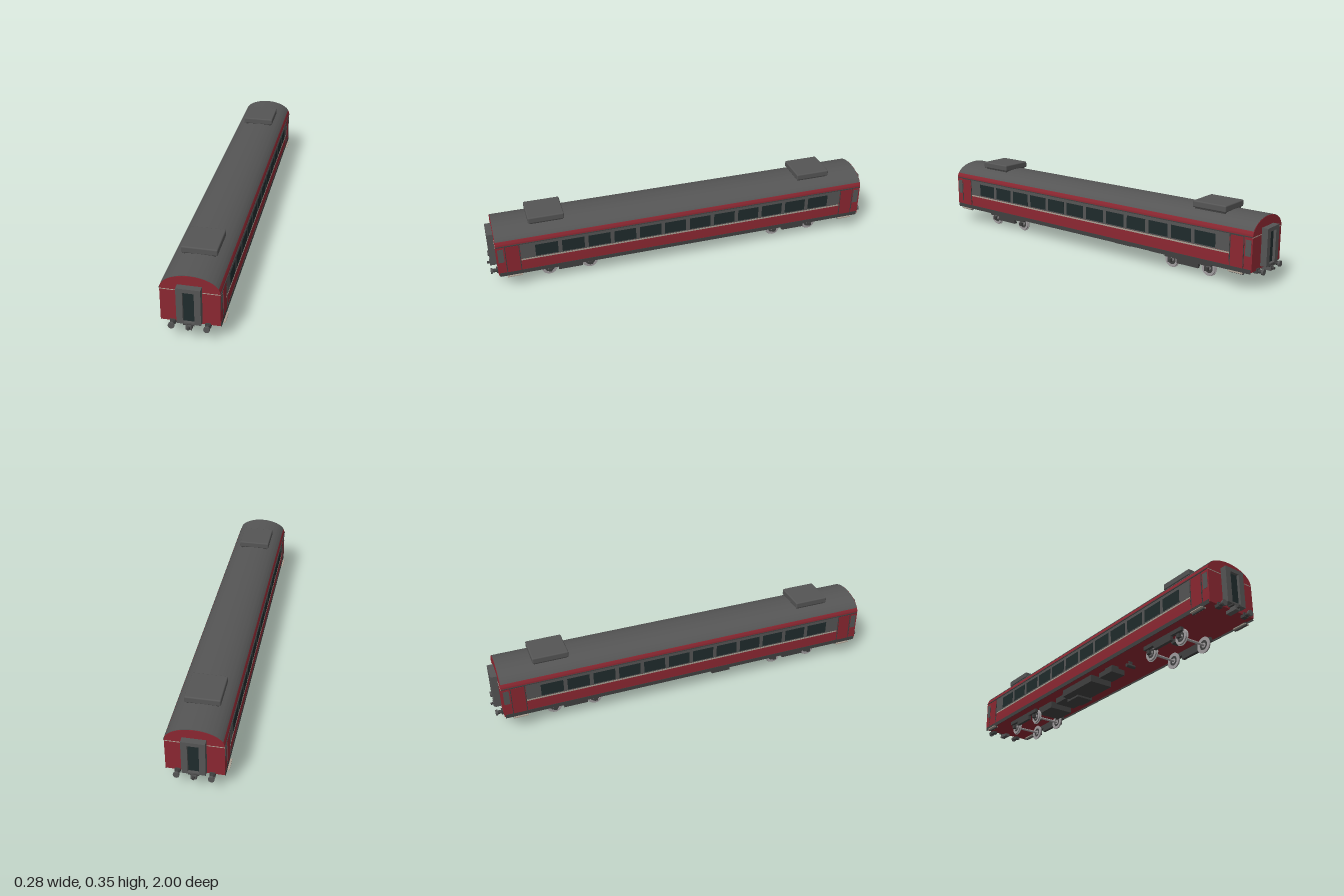
import * as THREE from 'three';
import { toCreasedNormals } from 'three/addons/utils/BufferGeometryUtils.js';
import { RoundedBoxGeometry } from 'three/addons/geometries/RoundedBoxGeometry.js';

const mat = (name, color) => new THREE.MeshStandardMaterial({ name, color });

export function createModel() {
  const red = mat('carriage red', 0x8b2731);
  const grey = mat('roof grey', 0x555555);
  const dark = mat('underframe grey', 0x404040);
  const glass = mat('window glass', 0x1f2b2c);
  const steel = mat('wheel steel', 0xa09c9e);
  const trim = mat('pale trim', 0xa99f92);

  const model = new THREE.Group();
  model.name = 'passengerCarriage';

  const add = (name, geo, m, x = 0, y = 0, z = 0, parent = model) => {
    const mesh = new THREE.Mesh(geo, m);
    mesh.name = name;
    mesh.position.set(x, y, z);
    parent.add(mesh);
    return mesh;
  };
  // Box given by its minimum and maximum on each axis
  const box = (name, m, x0, x1, y0, y1, z0, z1, parent = model) =>
    add(name, new THREE.BoxGeometry(x1 - x0, y1 - y0, z1 - z0), m,
      (x0 + x1) / 2, (y0 + y1) / 2, (z0 + z1) / 2, parent);
  const rod = (name, m, r, len, axis, x, y, z, parent = model) => {
    const g = new THREE.CylinderGeometry(r, r, len, 20);
    if (axis === 'x') g.rotateZ(Math.PI / 2);
    if (axis === 'z') g.rotateX(Math.PI / 2);
    return add(name, g, m, x, y, z, parent);
  };

  // Elliptical roof arch, from angle a to PI - a
  const arch = (a, grow) => {
    const pts = [];
    for (let i = 0; i <= 36; i++) {
      const t = a + (Math.PI - 2 * a) * i / 36;
      pts.push(new THREE.Vector2((0.131 + grow) * Math.cos(t), 0.25 + (0.072 + grow) * Math.sin(t)));
    }
    return pts;
  };
  const extrude = (pts, half) => {
    const g = new THREE.ExtrudeGeometry(new THREE.Shape(pts), { depth: half * 2, bevelEnabled: false });
    g.translate(0, 0, -half);
    return toCreasedNormals(g, 0.5);
  };

  // Body shell and roof skin
  const section = [new THREE.Vector2(-0.131, 0.088), new THREE.Vector2(0.131, 0.088), ...arch(0, 0)];
  add('bodyShell', extrude(section, 0.955), red);
  add('roof', extrude(arch(0.35, 0.0015), 0.953), grey);

  // Roof ventilation units
  for (const z of [0.697, -0.697]) {
    add('roofUnit', new RoundedBoxGeometry(0.162, 0.032, 0.176, 3, 0.006), grey, 0, 0.336, z);
    box('roofUnitBase', dark, -0.07, 0.07, 0.312, 0.322, z - 0.08, z + 0.08);
  }

  // Side details, the same on both sides
  for (const s of [1, -1]) {
    const side = new THREE.Group();
    side.name = s > 0 ? 'leftSide' : 'rightSide';
    model.add(side);
    const plate = (name, m, out, y0, y1, z0, z1) =>
      box(name, m, s > 0 ? 0.13 : -0.131 - out, s > 0 ? 0.131 + out : -0.13, y0, y1, z0, z1, side);

    plate('gutter', dark, 0.003, 0.248, 0.252, -0.953, 0.953);
    plate('sill', dark, 0.0015, 0.08, 0.1, -0.95, 0.95);
    plate('windowBand', grey, 0.001, 0.163, 0.247, -0.84, 0.84);
    plate('trimLine', trim, 0.0015, 0.155, 0.162, -0.84, 0.84);
    for (let i = 0; i < 12; i++) {
      const z = (i - 5.5) * 0.1297;
      plate('window', glass, 0.002, 0.169, 0.232, z - 0.055, z + 0.055);
    }
    for (const e of [1, -1]) {
      const span = (a, b) => (e > 0 ? [a, b] : [-b, -a]);
      plate('doorFrame', dark, 0.001, 0.095, 0.248, ...span(0.842, 0.914));
      plate('door', red, 0.002, 0.1, 0.245, ...span(0.846, 0.91));
      plate('endPanel', grey, 0.001, 0.16, 0.235, ...span(0.92, 0.948));
      for (const z of [0.843, 0.913]) {
        rod('handrail', dark, 0.0013, 0.097, 'y', s * 0.1355, 0.168, e * z, side);
        for (const y of [0.121, 0.215])
          rod('railBracket', dark, 0.0012, 0.006, 'x', s * 0.133, y, e * z, side);
      }
      // Step below the door
      const [z0, z1] = span(0.842, 0.914);
      box('step', trim, Math.min(s * 0.115, s * 0.142), Math.max(s * 0.115, s * 0.142), 0.076, 0.08, z0, z1, side);
      box('stepBracket', dark, Math.min(s * 0.123, s * 0.13), Math.max(s * 0.123, s * 0.13), 0.07, 0.09, z0, z1, side);
    }
  }

  // Carriage ends: gangway, buffers and coupler
  const frameShape = new THREE.Shape([[-0.053, 0.1], [0.053, 0.1], [0.053, 0.277], [-0.053, 0.277]]
    .map(p => new THREE.Vector2(...p)));
  frameShape.holes.push(new THREE.Path([[-0.025, 0.108], [-0.025, 0.258], [0.025, 0.258], [0.025, 0.108]]
    .map(p => new THREE.Vector2(...p))));
  const frameGeo = new THREE.ExtrudeGeometry(frameShape, { depth: 0.031, bevelEnabled: false });
  for (const turn of [0, Math.PI]) {
    const end = new THREE.Group();
    end.name = turn ? 'backEnd' : 'frontEnd';
    end.rotation.y = turn;
    model.add(end);
    add('gangwayFrame', frameGeo, grey, 0, 0, 0.954, end);
    box('gangwayDoor', glass, -0.027, 0.027, 0.106, 0.26, 0.954, 0.972, end);
    for (const s of [1, -1]) {
      box('endTrim', trim, s > 0 ? 0.053 : -0.131, s > 0 ? 0.131 : -0.053, 0.246, 0.249, 0.953, 0.9565, end);
      rod('bufferStem', dark, 0.009, 0.036, 'z', s * 0.077, 0.084, 0.967, end);
      rod('bufferHead', grey, 0.014, 0.01, 'z', s * 0.077, 0.084, 0.985, end);
      box('bufferMount', dark, s * 0.077 - 0.012, s * 0.077 + 0.012, 0.074, 0.096, 0.94, 0.962, end);
    }
    box('coupler', grey, -0.013, 0.013, 0.073, 0.097, 0.93, 0.988, end);
    box('couplerPlate', dark, -0.024, 0.024, 0.094, 0.101, 0.955, 0.985, end);
    rod('couplerHook', dark, 0.006, 0.014, 'z', 0, 0.085, 0.993, end);
  }

  // Wheel profile with a flange toward the carriage centre
  const wheelGeo = new THREE.LatheGeometry([[0.024, 0.011], [0.024, 0], [0.04, 0], [0.04, 0.003],
    [0.036, 0.004], [0.035, 0.011], [0.024, 0.011]].map(p => new THREE.Vector2(...p)), 32);
  const wheelShape = toCreasedNormals(wheelGeo.toNonIndexed(), 0.5);

  // Two bogies with two axles each
  for (const c of [0.6, -0.598]) {
    const bogie = new THREE.Group();
    bogie.name = 'bogie';
    bogie.position.z = c;
    model.add(bogie);
    for (const z of [0.103, -0.103]) {
      rod('axle', steel, 0.006, 0.15, 'x', 0, 0.04, z, bogie);
      for (const s of [1, -1]) {
        const wheel = add('wheel', wheelShape, steel, s * 0.063, 0.04, z, bogie);
        wheel.rotation.z = -s * Math.PI / 2;
        rod('wheelDisc', dark, 0.025, 0.005, 'x', s * 0.068, 0.04, z, bogie);
        rod('hub', steel, 0.012, 0.014, 'x', s * 0.071, 0.04, z, bogie);
        box('axleBox', dark, s * 0.085 - 0.009, s * 0.085 + 0.009, 0.031, 0.049, z - 0.009, z + 0.009, bogie);
      }
    }
    for (const s of [1, -1]) {
      const x = s * 0.087;
      box('sideFrame', dark, x - 0.008, x + 0.008, 0.057, 0.076, -0.13, 0.13, bogie);
      box('frameCentre', dark, x - 0.008, x + 0.008, 0.036, 0.06, -0.06, 0.06, bogie);
    }
    box('pivotMount', dark, -0.02, 0.02, 0.07, 0.09, -0.02, 0.02, bogie);
  }

  // Equipment below the floor
  [[-0.1, -0.02, 0.04, 0.066, 0.13, 0.23], [-0.095, 0.03, 0.052, 0.09, -0.2, 0.055],
    [-0.065, 0.05, 0.058, 0.09, -0.31, -0.2], [-0.05, 0.04, 0.042, 0.07, -0.22, -0.125],
    [-0.065, 0.065, 0.052, 0.09, -0.48, -0.355]]
    .forEach(b => box('equipmentBox', dark, ...b));
  box('equipmentHanger', dark, -0.08, -0.04, 0.06, 0.09, 0.15, 0.21);
  rod('airTank', dark, 0.009, 0.05, 'x', -0.03, 0.064, 0.29);
  box('tankHanger', dark, -0.04, -0.02, 0.066, 0.09, 0.286, 0.294);

  return model;
}
